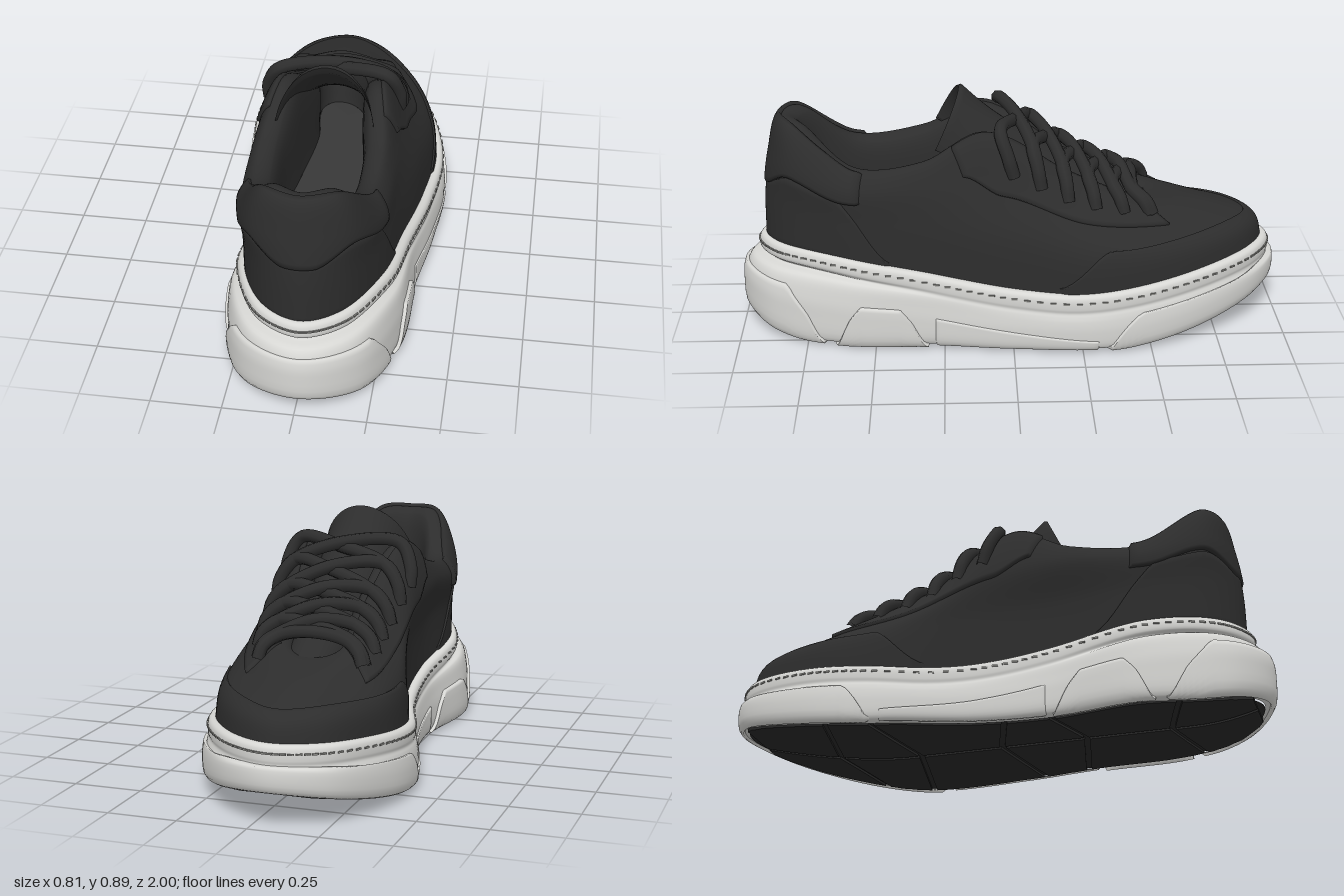
import * as THREE from 'three';
import { mergeGeometries } from 'three/addons/utils/BufferGeometryUtils.js';

const V = (x, y, z) => new THREE.Vector3(x, y, z);
const { lerp, smoothstep, clamp } = THREE.MathUtils;
const N = 16; // stations round the shoe: 0 heel, 4 left waist, 8 toe, 12 right waist

function mat(name, color) {
  const m = new THREE.MeshStandardMaterial({ color });
  m.name = name;
  return m;
}

// Smooth grid of points fn(i, j); the i direction can wrap round
function grid(nu, nv, fn, closed = false) {
  const pos = [], idx = [], cols = closed ? nu : nu + 1;
  for (let j = 0; j <= nv; j++) for (let i = 0; i < cols; i++) pos.push(...fn(i, j).toArray());
  for (let j = 0; j < nv; j++) for (let i = 0; i < nu; i++) {
    const a = j * cols + i, b = j * cols + (i + 1) % cols;
    idx.push(a, b, b + cols, a, b + cols, a + cols);
  }
  const g = new THREE.BufferGeometry();
  g.setAttribute('position', new THREE.Float32BufferAttribute(pos, 3));
  g.setIndex(idx);
  g.computeVertexNormals();
  return g;
}

const wrap = u => (((u / N) % 1) + 1) % 1;
const loop = pts => new THREE.CatmullRomCurve3(pts, true);

// Sole outline (x, z), bottom curve and rim height
const outline = loop([[.01, .99], [.2, .89], [.315, .62], [.335, .3], [.375, 0], [.39, -.35], [.285, -.67], [.1, -.915],
  [-.07, -.99], [-.25, -.905], [-.375, -.64], [-.39, -.38], [-.285, -.02], [-.26, .25], [-.3, .6], [-.19, .89]]
  .map(([x, z]) => V(x, 0, z)));
const bot = z => z > .7 ? .06 * ((z - .7) / .3) ** 2 : z < -.35 ? .12 * ((-z - .35) / .65) ** 1.6 : 0;
const rim = z => .213 + .125 * smoothstep(z, -.25, .85) + .068 * smoothstep(-z, .15, 1.1);

// Outline point moved inwards by d(z), at height y(z)
function inset(u, d, y) {
  const p = outline.getPoint(wrap(u)), t = outline.getTangent(wrap(u)), k = d(p.z);
  return V(p.x + t.z * k, y(p.z), p.z - t.x * k);
}

// Sole wall: straight along the sides, stepped in with a groove round the heel
function solePoint(u, v) {
  const p = outline.getPoint(wrap(u)), t = outline.getTangent(wrap(u));
  const b = bot(p.z), r = rim(p.z), h = r - b, e = .045 * smoothstep(p.z, .2, .9);
  const levels = [[.035, b + .005], [.008, b + .016], [0, b + .35 * h], [.004, b + .55 * h], [.009 + e * .4, r - .08],
    [.014 + e * 1.3, r - .066], [.011 + e, r - .05], [.014 + e, r - .012], [.028 + e, r], [.11 + e, r - .01]];
  const pts = levels.map(([d, y]) => V(p.x + t.z * d, y, p.z - t.x * d));
  return new THREE.CatmullRomCurve3(pts).getPoint(v / 9);
}

// Mirrored loop from heel-to-toe rows of half width, height and z; the toe swings to -x
const swing = z => -.06 * smoothstep(-z, .2, .7);
const mirrored = rows => Array.from({ length: N }, (_, k) => {
  const [w, y, z] = rows[Math.min(k, N - k)];
  return V(swing(z) + (k > 8 ? -w : w), y, z);
});
const narrowed = (pts, f, move) => pts.map(p => {
  const q = move(p);
  return q.setX(swing(p.z) + (p.x - swing(p.z)) * f);
});

// Upper: loops from the welt, over the collar and throat edge, down to the footbed
const welt = Array.from({ length: N }, (_, k) => inset(k, z => .042 + .045 * smoothstep(z, .2, .9), z => rim(z) - .025));
const shoulder = mirrored([[0, .66, .875], [.155, .65, .81], [.24, .58, .6], [.256, .6, .3], [.255, .58, .02],
  [.26, .47, -.25], [.215, .415, -.54], [.1, .4, -.745], [0, .395, -.81]]);
const belly = welt.map((p, k) => p.clone().lerp(shoulder[k], .2)
  .setY(lerp(p.y, shoulder[k].y, .56 + .09 * smoothstep(-p.z, .3, .9))));
const topEdge = mirrored([[0, .79, .835], [.113, .785, .79], [.195, .645, .58], [.215, .67, .32], [.178, .77, .1],
  [.135, .6, -.2], [.12, .49, -.43], [.055, .465, -.49], [0, .46, -.5]]);
const innerEdge = narrowed(topEdge, .74, p =>
  V(0, p.y - .023, p.z - .06 * smoothstep(p.z, .4, .83) + .03 * smoothstep(-p.z, .2, .5)));
const floorEdge = narrowed(innerEdge, .9, p => V(0, .33, p.z * .95));
const upperLoops = [welt, belly, shoulder, topEdge, innerEdge, floorEdge].map(loop);
const upperPoint = (u, v) =>
  new THREE.CatmullRomCurve3(upperLoops.map(c => c.getPoint(wrap(u)))).getPoint(clamp(v / 5, 0, 1));

// Point lifted off a surface along its normal
function lifted(surf, u, v, h) {
  const du = surf(u + .03, v).sub(surf(u - .03, v)), dv = surf(u, v + .03).sub(surf(u, v - .03));
  return surf(u, v).addScaledVector(du.cross(dv).normalize(), h);
}

// Raised panel with crisp edges laid on a surface
function panel(surf, u0, u1, lo, hi, h, nu = 44, nv = 12) {
  const step = (i, n) => i === 0 ? 0 : i === n ? 1 : .012 + (i - 1) / (n - 2) * .976;
  return grid(nu, nv, (i, j) => {
    const u = lerp(u0, u1, step(i, nu)), v = lerp(lo(u), hi(u), step(j, nv));
    return lifted(surf, u, v, i % nu === 0 || j % nv === 0 ? -.004 : h);
  });
}

export function createModel() {
  const shoe = new THREE.Group();
  const black = mat('blackUpper', 0x2d2d2d), white = mat('paleSole', 0xd7d7d4),
    rubber = mat('blackRubber', 0x292929), lining = mat('footbedGrey', 0x383838), thread = mat('stitchGrey', 0x8c8c88);
  rubber.side = THREE.DoubleSide;
  const add = (name, geo, m) => {
    const mesh = new THREE.Mesh(geo, m);
    mesh.name = name;
    shoe.add(mesh);
  };
  const both = (name, surf, u0, u1, lo, hi, h, m) => {
    add(name + 'Left', panel(surf, u0, u1, lo, hi, h), m);
    add(name + 'Right', panel(surf, N - u1, N - u0, u => lo(N - u), u => hi(N - u), h), m);
  };

  // Midsole and its sculpted side panels
  add('midsole', grid(144, 45, (i, j) => solePoint(i / 9, j / 5), true), white);
  const ramp = (u, a, b, w) => clamp(Math.min(u - a, b - u) / w, 0, 1);
  const low = () => .6;
  add('heelClip', panel(solePoint, -1.8, 1.8, low, u => .75 + 2.65 * ramp(u, -1.8, 1.8, .5), .011, 60), white);
  add('forefootBumper', panel(solePoint, 4.95, 11.05, low, u => .75 + 2.75 * ramp(u, 4.95, 11.05, .4), .011, 90), white);
  both('archWedge', solePoint, 1.9, 2.98, low, u => .75 + 2.05 * ramp(u, 1.9, 2.98, .32), .013, white);
  both('waistPanel', solePoint, 3.05, 4.88, low, u => lerp(2.4, 1.5, (u - 3.05) / 1.83), .006, white);

  // Welt stitching
  const stitches = [];
  for (let k = 0; k < 120; k++) {
    const u = k * N / 120, t = outline.getTangent(wrap(u)), p = lifted(solePoint, u, 6.6, .001);
    stitches.push(new THREE.BoxGeometry(.022, .006, .006).rotateY(Math.atan2(-t.z, t.x)).translate(p.x, p.y, p.z));
  }
  add('weltStitching', mergeGeometries(stitches), thread);

  // Outsole base and tread blocks split by chevron grooves
  add('outsole', grid(96, 6, (i, j) => {
    const p = solePoint(i / 6, 0), f = j / 6, z = lerp(clamp(p.z, -.7, .7), p.z, f);
    return V(lerp(swing(z), p.x, f), bot(z) + .009, z);
  }, true), rubber);
  const ring = outline.getPoints(320);
  const edge = (z, side) => {
    const near = ring.filter(p => (p.x + .02) * side > 0).sort((a, b) => Math.abs(a.z - z) - Math.abs(b.z - z))[0];
    return near.x - side * .04;
  };
  const cut = k => -.93 + k * .312;
  for (let k = 0; k < 6; k++) for (const side of [-1, 1]) {
    const g = new THREE.BoxGeometry(1, 1, 1, 6, 1, 12), p = g.attributes.position;
    for (let i = 0; i < p.count; i++) {
      const s = .5 + side * p.getX(i), f = p.getZ(i) + .5;
      const skew = q => q % 6 === 0 ? 0 : .07 * s * (q % 2 ? 1 : -1);
      const z = lerp(cut(k) + .01 + skew(k), cut(k + 1) - .01 + skew(k + 1), f);
      p.setXYZ(i, lerp(-.01 + side * .008, edge(z, side), s), bot(z) + (p.getY(i) > 0 ? .015 : 0), z);
    }
    g.computeVertexNormals();
    add('treadBlock', g, rubber);
  }

  // Upper with padded collar, and footbed
  add('upper', grid(144, 50, (i, j) => upperPoint(i / 9, j / 10), true), black);
  add('footbed', grid(64, 4, (i, j) => {
    const p = upperPoint(i / 4, 5);
    return p.lerp(V(0, .335, clamp(p.z, -.35, .65)), j / 4);
  }, true), lining);

  // Overlays: heel, eyestays, toe guard
  const a = Math.abs;
  add('heelTab', panel(upperPoint, -2.2, 2.2, u => 1.24 + .5 * smoothstep(a(u), .3, 1.2) - .15 * smoothstep(a(u), 1.3, 2),
    u => 3.05 - .25 * smoothstep(a(u), 1.6, 2.2), .014, 60, 16), black);
  add('heelCounter', panel(upperPoint, -2.55, 2.55, () => .05,
    u => 1.3 + .4 * smoothstep(a(u), .3, 1.2) - 1.5 * smoothstep(a(u), 1.8, 2.55), .007, 60, 12), black);
  both('eyestay', upperPoint, 3.45, 6.1, u => 1.85 + .35 * smoothstep(3.9 - u, 0, .45), () => 2.97, .011, black);
  add('toeGuard', panel(upperPoint, 4.45, 11.55, () => .05,
    u => .2 + .95 * smoothstep(Math.min(u - 4.45, 11.55 - u), 0, .7) + .3 * smoothstep(3 - a(u - 8), 0, 2), .007, 90, 12), black);

  // Tongue: padded strip, arching into a hood at its peak
  const spine = new THREE.CatmullRomCurve3([V(-.02, .42, -.53), V(-.01, .595, -.2), V(0, .765, .06), V(0, .885, .19)]);
  add('tongue', grid(48, 30, (i, j) => {
    const t = j / 30, f = i / 24 * Math.PI, c = spine.getPoint(t), x = Math.cos(f);
    const thick = j === 30 ? 0 : lerp(.03, .016, t), arch = 1 - Math.sqrt(1 - .98 * x * x);
    return V(c.x + lerp(.09, .175, t) * x, c.y - lerp(.05, .21, t) * arch + Math.sin(f) * thick,
      c.z + .1 * smoothstep(t, .6, 1) * arch);
  }, true), black);

  // Laces: crossed tubes lying over the eyestays and tongue
  const lace = (uL, uR, rise) => {
    const side = u => [[2.25, .002], [2.5, .026], [2.92, .03]].map(([v, h]) => lifted(upperPoint, u, v, h));
    const l = side(uL), r = side(N - uR).reverse();
    const mid = l[2].clone().lerp(r[0], .5);
    mid.y += rise;
    add('lace', new THREE.TubeGeometry(new THREE.CatmullRomCurve3([...l, mid, ...r]), 40, .024, 8), black);
  };
  for (let k = 0; k < 5; k++) {
    const u = 4.15 + k * .36;
    lace(u, u + .36, .015);
    lace(u + .36, u, .035);
  }
  lace(6, 6, .02);
  return shoe;
}
